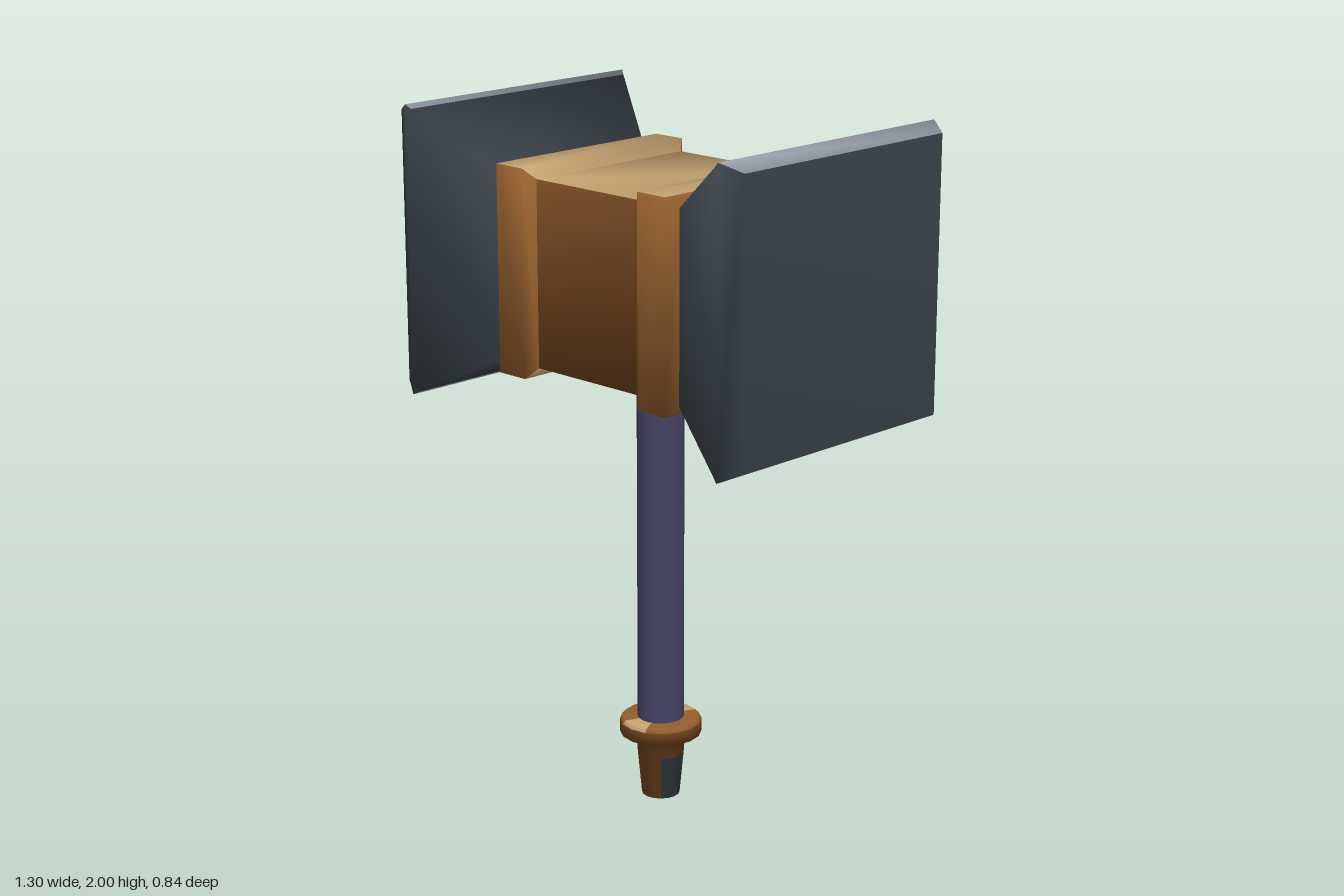
import * as THREE from 'three';

const mat = (name, color) => {
  const m = new THREE.MeshStandardMaterial({ color });
  m.name = name;
  return m;
};

// Give one run of vertices the normals of another, so a colour break adds no crease.
function copyNormal(geo, to, from) {
  const n = geo.attributes.normal;
  n.setXYZ(to, n.getX(from), n.getY(from), n.getZ(from));
}

// Smooth loft of rectangular sections [x, yLow, yHigh, zBack, zFront] running
// away from x = 0 on side s. paint gives [top and bottom, front and back] per span.
function loft(s, sections, paint, materials, capMaterial) {
  const pos = [], index = [];
  const geo = new THREE.BufferGeometry();
  sections.forEach(([x, y0, y1, z0, z1]) =>
    pos.push(s * x, y0, z0, s * x, y0, z1, s * x, y1, z1, s * x, y1, z0));
  const quad = (a, b, c, d, material) => {
    geo.addGroup(index.length, 6, material);
    if (s > 0) index.push(a, b, c, a, c, d);
    else index.push(a, c, b, a, d, c);
  };
  paint.forEach((colours, i) => {
    for (let k = 0; k < 4; k++) {
      const a = i * 4 + k, b = i * 4 + (k + 1) % 4;
      quad(a, a + 4, b + 4, b, colours[k % 2]);
    }
  });
  const n = paint.length * 4;
  if (capMaterial !== undefined) quad(n, n + 3, n + 2, n + 1, capMaterial);
  geo.setAttribute('position', new THREE.Float32BufferAttribute(pos, 3));
  geo.setIndex(index);
  geo.computeVertexNormals();
  return new THREE.Mesh(geo, materials);
}

export function createModel() {
  const group = new THREE.Group();
  const grip = mat('purple grip', 0x454363);
  const palette = [
    mat('dark iron', 0x384148),
    mat('worn steel edge', 0x98a0aa),
    mat('brown wood', 0x74461f),
    mat('tan wood', 0xc6a470),
    mat('orange wood', 0x955f2d),
  ];
  const IRON = 0, STEEL = 1, WOOD = 2, TAN = 3, BAND = 4;
  const add = (mesh, name) => {
    mesh.name = name;
    group.add(mesh);
    return mesh;
  };

  // Wooden core of the head
  const core = [1.30, 1.83, -0.26, 0.30];
  add(loft(1, [[-0.2, ...core], [0.2, ...core]], [[TAN, WOOD]], palette), 'headCore');

  // Raised bands and flared striking heads, mirrored
  const raised = [1.27, 1.86, -0.29, 0.33];
  for (const s of [1, -1]) {
    const side = s > 0 ? 'left' : 'right';
    add(loft(s,
      [[0.195, ...core], [0.22, ...raised], [0.322, ...raised], [0.346, ...core]],
      [[TAN, BAND], [TAN, BAND], [BAND, BAND]], palette), side + 'Band');
    const head = add(loft(s,
      [[0.344, ...core], [0.578, 1.179, 1.988, -0.41, 0.412],
        [0.593, 1.17, 2.0, -0.42, 0.42], [0.65, 1.197, 1.975, -0.385, 0.385]],
      [[IRON, IRON], [STEEL, IRON], [STEEL, IRON]], palette, IRON), side + 'StrikingHead');
    for (let k = 4; k < 8; k++) copyNormal(head.geometry, k, k + 4);
  }

  // Shaft, slightly forward of centre
  const axisZ = 0.02;
  const shaft = add(new THREE.Mesh(
    new THREE.CylinderGeometry(0.067, 0.067, 1.1, 24, 1, true), grip), 'shaft');
  shaft.position.set(0, 0.77, axisZ);

  // Tapered pommel and collar in one turned piece
  const profile = [[0, 0], [0.055, 0], [0.067, 0.13], [0.071, 0.188],
    [0.118, 0.192], [0.119, 0.23], [0.11, 0.24], [0.06, 0.241]];
  const segments = 16, rows = profile.length - 1;
  const turned = new THREE.LatheGeometry(
    profile.map(([r, y]) => new THREE.Vector2(r, y)), segments);
  for (let i = 0; i <= segments; i++) {
    copyNormal(turned, i * profile.length + 2, i * profile.length + 1);
  }
  // Iron inlays on the two sides, worn tan patches on the collar's front and back
  for (let i = 0; i < segments; i++) {
    const angle = (i + 0.5) * 2 * Math.PI / segments;
    const inlay = Math.abs(Math.sin(angle)) > 0.7 ? IRON : WOOD;
    const rim = Math.abs(Math.cos(angle)) > 0.9 ? TAN : BAND;
    [WOOD, inlay, WOOD, WOOD, WOOD, rim, rim].forEach((colour, j) =>
      turned.addGroup((i * rows + j) * 6, 6, colour));
  }
  add(new THREE.Mesh(turned, palette), 'pommelAndCollar').position.z = axisZ;
  return group;
}
